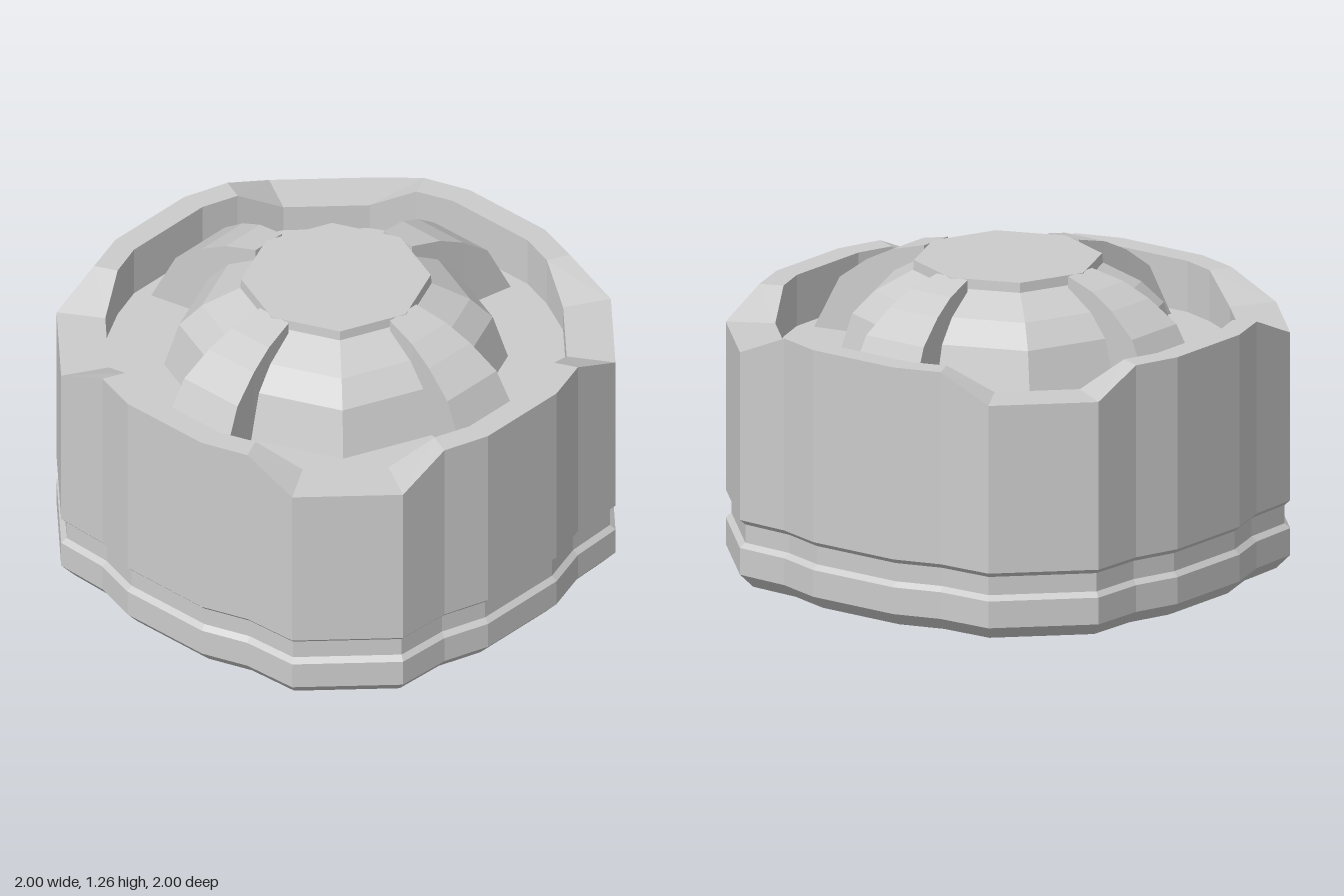
import * as THREE from 'three';

const material = new THREE.MeshStandardMaterial({ color: 0xcccccc, flatShading: true });

function addMesh(parent, name, geometry) {
  const mesh = new THREE.Mesh(geometry, material);
  mesh.name = name;
  parent.add(mesh);
  return mesh;
}

// Skin a stack of closed loops (counter-clockwise from above, running bottom to top)
function loft(loops) {
  const pos = [];
  const tri = (a, b, c) => {
    const area = new THREE.Triangle(a, b, c).getArea();
    if (area > 1e-7) pos.push(...a.toArray(), ...b.toArray(), ...c.toArray());
  };
  for (let i = 0; i < loops.length - 1; i++) {
    const lo = loops[i], hi = loops[i + 1], n = lo.length;
    for (let j = 0; j < n; j++) {
      const k = (j + 1) % n;
      tri(lo[j], lo[k], hi[k]);
      tri(lo[j], hi[k], hi[j]);
    }
  }
  const g = new THREE.BufferGeometry();
  g.setAttribute('position', new THREE.Float32BufferAttribute(pos, 3));
  g.computeVertexNormals();
  return g;
}

// Repeat one quadrant of [x, z, ...] points around the axis
function fourfold(quadrant) {
  const out = [];
  for (let q = 0; q < 4; q++) {
    const c = Math.round(Math.cos(q * Math.PI / 2)), s = Math.round(Math.sin(q * Math.PI / 2));
    for (const [x, z, h] of quadrant) out.push([x * c - z * s, x * s + z * c, h]);
  }
  return out;
}

const ring = (outline, scale, y) =>
  outline.map(([x, z, h]) => new THREE.Vector3(x * scale, y ?? h, -z * scale));

export function createModel() {
  const model = new THREE.Group();
  model.name = 'model';

  // Outer wall outline and inner rim, with the rim height at each point
  const hi = 1.07, lo = 0.97, floorY = 0.86;
  const outer = fourfold([[1, 0.2, hi], [0.94, 0.39, hi], [0.93, 0.62, lo],
    [0.62, 0.93, lo], [0.39, 0.94, hi], [0.2, 1, hi]]);
  const inner = fourfold([[0.9, 0.2, hi], [0.85, 0.35, hi], [0.76, 0.52, lo],
    [0.52, 0.76, lo], [0.35, 0.85, hi], [0.2, 0.9, hi]]);

  // Housing: chamfered base, groove, notched rim and sunken floor
  const wall = [[0, 0], [0.95, 0], [1, 0.055], [1, 0.165], [0.98, 0.185], [0.98, 0.26], [1, 0.28]];
  addMesh(model, 'housing', loft([
    ...wall.map(([s, y]) => ring(outer, s, y)),
    ring(outer, 1), ring(inner, 1), ring(inner, 1, floorY), ring(inner, 0, floorY),
  ]));

  // Eight-sided dome
  const d = Math.SQRT1_2;
  const octagon = fourfold([[1, 0], [d, d]]);
  const domeProfile = [[0.68, floorY], [0.62, 1.05], [0.53, 1.14], [0.38, 1.22], [0, 1.22]];
  addMesh(model, 'dome', loft(domeProfile.map(([r, y]) => ring(octagon, r, y))));

  // Raised cap on the dome
  const capProfile = [[0.38, 1.2], [0.375, 1.26], [0, 1.26]];
  addMesh(model, 'cap', loft(capProfile.map(([r, y]) => ring(octagon, r, y))));

  // Four flared ribs: [distance from axis, top height, half width]
  const rib = [[0.36, 1.26, 0.077], [0.5, 1.225, 0.1], [0.61, 1.17, 0.12],
    [0.73, 1.08, 0.143], [0.84, floorY, 0.165]];
  const box = new THREE.BoxGeometry(1, 1, 1, rib.length - 1, 1, 1);
  const p = box.attributes.position;
  for (let i = 0; i < p.count; i++) {
    const [r, y, w] = rib[Math.round((p.getX(i) + 0.5) * (rib.length - 1))];
    p.setXYZ(i, r, p.getY(i) > 0 ? y : floorY, Math.sign(p.getZ(i)) * w);
  }
  const ribGeometry = box.toNonIndexed();
  ribGeometry.computeVertexNormals();
  for (let i = 0; i < 4; i++) addMesh(model, 'rib', ribGeometry).rotation.y = i * Math.PI / 2;

  return model;
}
